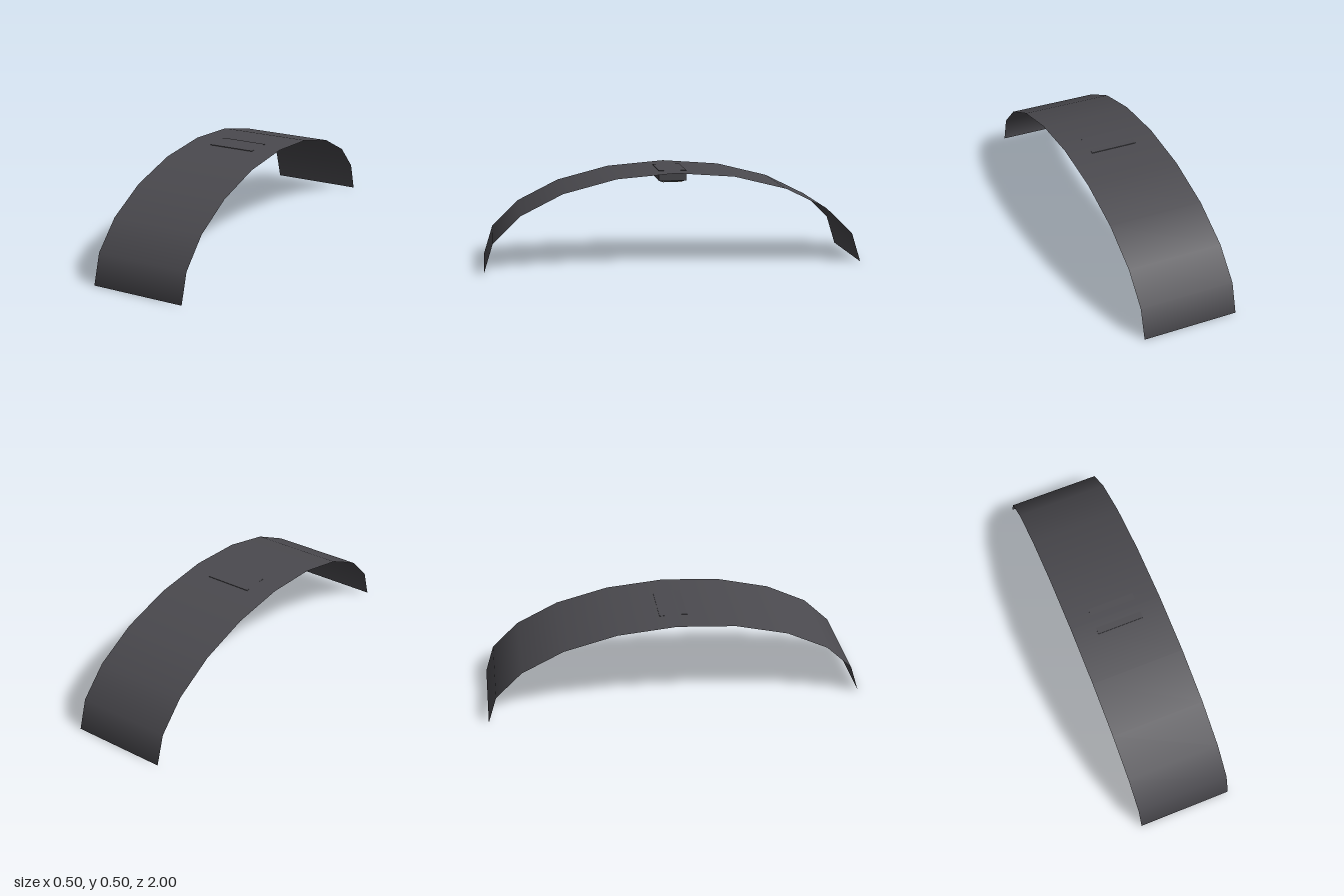
import * as THREE from 'three';

const shell = new THREE.MeshStandardMaterial({ color: 0x4b4a4f, side: THREE.DoubleSide });
shell.name = 'charcoal';
const rimMat = new THREE.MeshStandardMaterial({ color: 0x2c2c2e });
rimMat.name = 'dark rim';
const lensMat = new THREE.MeshStandardMaterial({ color: 0xb8b5af });
lensMat.name = 'pale lens';

// Horizontal rounded plate hanging down from height `top`
function plate(width, depth, radius, top, bottom) {
  const w = width / 2, d = depth / 2, r = radius;
  const s = new THREE.Shape();
  s.absarc(w - r, d - r, r, 0, Math.PI / 2);
  s.absarc(-w + r, d - r, r, Math.PI / 2, Math.PI);
  s.absarc(-w + r, -d + r, r, Math.PI, Math.PI * 1.5);
  s.absarc(w - r, -d + r, r, Math.PI * 1.5, Math.PI * 2);
  s.closePath();
  const g = new THREE.ExtrudeGeometry(s, { depth: top - bottom, bevelEnabled: false, curveSegments: 4 });
  return g.rotateX(Math.PI / 2).translate(0, top, 0);
}

export function createModel() {
  const group = new THREE.Group();
  group.name = 'archWithLamp';
  const add = (name, geometry, material) => {
    const mesh = new THREE.Mesh(geometry, material);
    mesh.name = name;
    group.add(mesh);
  };

  // Thin ten-sided half-elliptical sheet running from front to back
  const arch = new THREE.CylinderGeometry(1, 1, 0.5, 10, 1, true, 0, Math.PI);
  arch.rotateZ(Math.PI / 2).scale(1, 0.5, 1);
  add('archSheet', arch, shell);

  // Lamp under the crown; its long top edges just break through the sheet
  const housing = new THREE.BoxGeometry(0.25, 0.055, 0.147);
  housing.translate(0, 0.4695, 0);
  add('lampHousing', housing, shell);
  add('lampRim', plate(0.232, 0.128, 0.012, 0.443, 0.437), rimMat);
  add('lampLens', plate(0.215, 0.112, 0.012, 0.437, 0.432), lensMat);

  return group;
}
